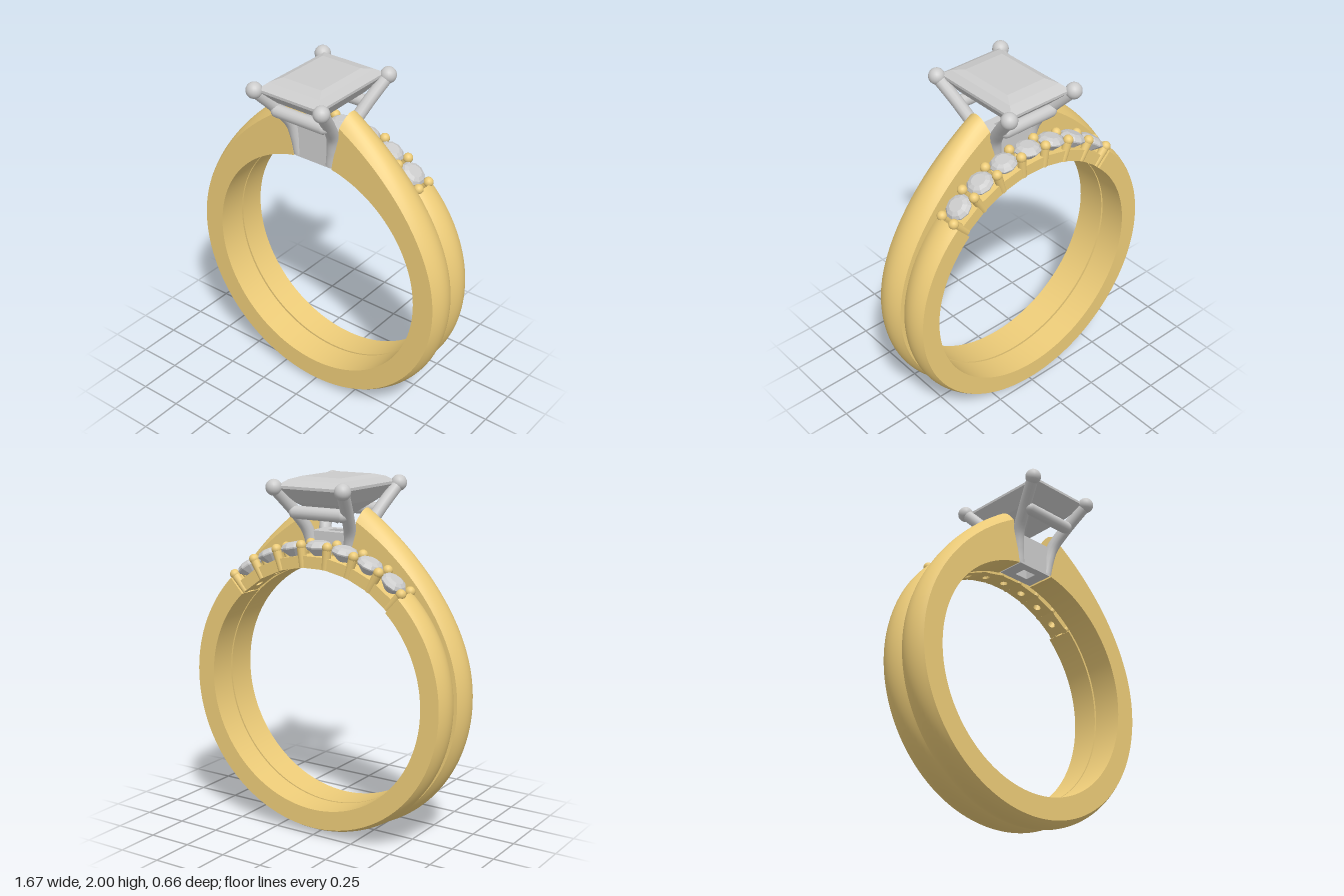
import * as THREE from 'three';
import { toCreasedNormals } from 'three/addons/utils/BufferGeometryUtils.js';
import { ConvexGeometry } from 'three/addons/geometries/ConvexGeometry.js';

const CY = 0.84;       // height of the finger hole's centre
const INNER = 0.68;    // radius of the finger hole
const rad = THREE.MathUtils.degToRad;

const gold = new THREE.MeshStandardMaterial({ color: 0xeccb78 });
const metal = new THREE.MeshStandardMaterial({ color: 0xcccccc });
const gem = new THREE.MeshStandardMaterial({ color: 0xcccccc, flatShading: true });

function add(parent, name, geometry, material, x = 0, y = 0, z = 0) {
  const mesh = new THREE.Mesh(geometry, material);
  mesh.name = name;
  mesh.position.set(x, y, z);
  parent.add(mesh);
  return mesh;
}

// Open ring with a flat inside and a domed outside; angles run clockwise from the top.
// outer(deg) gives [radius at the crest, depth of the dome].
function bandGeometry(startDeg, halfWidth, outer, steps = 128) {
  const pos = [], index = [], dome = 12, n = dome + 3;
  for (let i = 0; i <= steps; i++) {
    const deg = startDeg + (360 - 2 * startDeg) * i / steps, a = rad(deg);
    const [r, depth] = outer(Math.min(deg, 360 - deg));
    const section = [[INNER, halfWidth]];
    for (let j = 0; j <= dome; j++) {
      const t = 1 - 2 * j / dome;
      section.push([r - depth * t * t, halfWidth * t]);
    }
    section.push([INNER, -halfWidth]);
    for (const [q, z] of section) pos.push(q * Math.sin(a), CY + q * Math.cos(a), z);
  }
  for (let i = 0; i < steps; i++) {
    for (let j = 0; j < n; j++) {
      const a = i * n + j, b = i * n + (j + 1) % n;
      index.push(a, a + n, b, b, a + n, b + n);
    }
  }
  const last = steps * n;
  for (let j = 1; j < n - 1; j++) {
    index.push(0, j, j + 1, last, last + j + 1, last + j);
  }
  const g = new THREE.BufferGeometry();
  g.setAttribute('position', new THREE.Float32BufferAttribute(pos, 3));
  g.setIndex(index);
  return toCreasedNormals(g, rad(28));
}

// Rectangular plate with a hole, thickness along y, base at y = 0.
function piercedPlate(w, d, h, hole) {
  const s = new THREE.Shape([
    new THREE.Vector2(-w / 2, -d / 2), new THREE.Vector2(w / 2, -d / 2),
    new THREE.Vector2(w / 2, d / 2), new THREE.Vector2(-w / 2, d / 2)]);
  s.holes.push(hole);
  return new THREE.ExtrudeGeometry(s, { depth: h, bevelEnabled: false, curveSegments: 8 })
    .rotateX(-Math.PI / 2);
}

function createHead() {
  const head = new THREE.Group();
  head.name = 'head';

  // hollow base between the shoulders
  const w = 0.045, d = 0.035;
  const square = new THREE.Path([
    new THREE.Vector2(-w, -d), new THREE.Vector2(-w, d),
    new THREE.Vector2(w, d), new THREE.Vector2(w, -d)]);
  add(head, 'headBase', piercedPlate(0.235, 0.165, 0.19, square), metal, 0, 1.51, 0);

  // four flared prongs with ball tips
  for (const sx of [-1, 1]) for (const sz of [-1, 1]) {
    const path = new THREE.CatmullRomCurve3([
      [0.108, 1.52, 0.055], [0.12, 1.6, 0.062], [0.137, 1.7, 0.085],
      [0.168, 1.805, 0.16], [0.218, 1.945, 0.285]
    ].map(([x, y, z]) => new THREE.Vector3(sx * x, y, sz * z)));
    add(head, 'prong', new THREE.TubeGeometry(path, 24, 0.035, 12), metal);
    add(head, 'prongTip', new THREE.SphereGeometry(0.045, 20, 14), metal, sx * 0.218, 1.945, sz * 0.285);
  }

  // front and back rails with rounded ends
  for (const sz of [-1, 1]) {
    const rail = add(head, 'rail', new THREE.CapsuleGeometry(0.036, 0.3, 6, 16), metal, 0, 1.807, sz * 0.185);
    rail.rotation.z = Math.PI / 2;
  }

  // rectangular centre stone: table, crown, girdle, pavilion and culet
  const pts = [new THREE.Vector3(0, 1.735, 0)];
  for (const [x, y, z] of [[0.125, 2, 0.165], [0.165, 1.985, 0.23], [0.2, 1.955, 0.28],
    [0.2, 1.94, 0.28], [0.14, 1.86, 0.195]])
    for (const sx of [-1, 1]) for (const sz of [-1, 1])
      pts.push(new THREE.Vector3(sx * x, y, sz * z));
  add(head, 'centreStone', new ConvexGeometry(pts), gem);
  return head;
}

function createStoneRow() {
  const row = new THREE.Group();
  row.name = 'stoneRow';
  row.position.set(0, CY, -0.18);

  const hole = new THREE.Path();
  hole.absarc(0, 0, 0.022, 0, Math.PI * 2, true);
  const seatGeo = piercedPlate(0.154, 0.125, 0.065, hole);
  const stoneGeo = new THREE.LatheGeometry(
    [[0, 0.715], [0.073, 0.787], [0.075, 0.795], [0.062, 0.812], [0.04, 0.822], [0, 0.822]]
      .map(p => new THREE.Vector2(...p)), 10);
  const pillarGeo = new THREE.CylinderGeometry(0.025, 0.022, 0.12, 12);
  const beadGeo = new THREE.SphereGeometry(0.028, 14, 10);

  const spoke = (name, deg) => {
    const g = new THREE.Group();
    g.name = name;
    g.rotation.z = -rad(deg);
    row.add(g);
    return g;
  };
  // seven pierced seats, each holding a round stone
  for (let i = -3; i <= 3; i++) {
    const g = spoke('stoneSetting', i * 12);
    add(g, 'seat', seatGeo, gold, 0, INNER, 0);
    add(g, 'roundStone', stoneGeo, gem);
  }
  // a pair of bead-topped pillars on each side of every stone
  for (let i = -3.5; i <= 3.5; i++) {
    const g = spoke('pillarPair', i * 12);
    for (const s of [-1, 1]) {
      add(g, 'pillar', pillarGeo, gold, 0, 0.743, s * 0.047);
      add(g, 'bead', beadGeo, gold, 0, 0.803, s * 0.047);
    }
  }
  return row;
}

export function createModel() {
  const model = new THREE.Group();
  model.name = 'ringSet';

  // main band, rising into shoulders beside the head
  add(model, 'mainBand', bandGeometry(10.8, 0.0875, deg => {
    const rise = Math.pow(Math.max(0, 1 - (deg - 11) / 62), 2.6);
    return [0.835 + 0.178 * rise, 0.03 + 0.04 * rise];
  }), gold, 0, 0, -0.002);
  model.add(createHead());

  // second band, cut away along the top for the stones
  add(model, 'stoneBand', bandGeometry(43, 0.08, () => [0.815, 0.026]), gold, 0, 0, -0.18);
  model.add(createStoneRow());
  return model;
}
